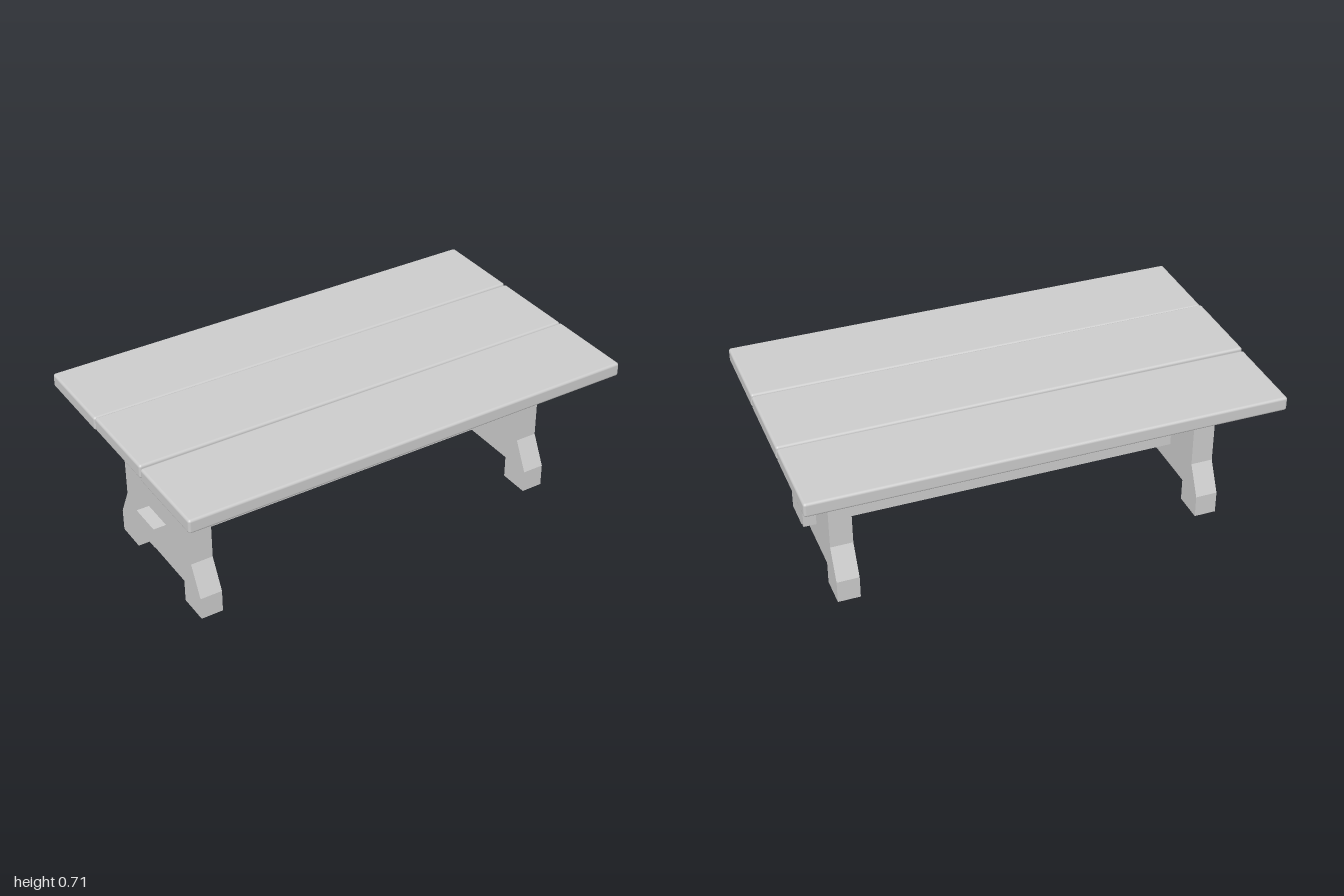
import * as THREE from 'three';
import { RoundedBoxGeometry } from 'three/addons/geometries/RoundedBoxGeometry.js';

export function createModel() {
  const table = new THREE.Group();
  table.name = 'trestleTable';
  const wood = new THREE.MeshStandardMaterial({ color: 0xcccccc });

  const add = (name, geometry, x, y, z) => {
    const mesh = new THREE.Mesh(geometry, wood);
    mesh.name = name;
    mesh.position.set(x, y, z);
    table.add(mesh);
    return mesh;
  };

  // Three rounded top planks; the middle one sits very slightly askew
  const planks = [
    ['backPlank', -0.389, 0.669, 0],
    ['middlePlank', 0.002, 0.672, -0.004],
    ['frontPlank', 0.391, 0.669, 0],
  ];
  for (const [name, z, y, tilt] of planks) {
    const plank = add(name, new RoundedBoxGeometry(1.996, 0.061, 0.386, 3, 0.011), 0, y, z);
    plank.rotation.z = tilt;
  }

  // Trestle end panel: half outline (z, y) from inner foot to top, then mirrored
  const half = [
    [0.207, 0.1], [0.207, 0], [0.342, 0], [0.342, 0.1],
    [0.277, 0.23], [0.277, 0.55], [0.327, 0.61], [0.327, 0.645],
  ];
  const mirrored = half.map(([z, y]) => [-z, y]).reverse();
  const outline = new THREE.Shape([...half, ...mirrored].map(([z, y]) => new THREE.Vector2(z, y)));
  const panel = new THREE.ExtrudeGeometry(outline, { depth: 0.096, bevelEnabled: false });
  panel.translate(0, 0, -0.048);
  panel.rotateY(-Math.PI / 2);
  add('leftTrestle', panel, 0.787, 0, 0.002);
  add('rightTrestle', panel, -0.802, 0, 0.002);

  // Stretcher beam passing through both trestles
  add('stretcher', new THREE.BoxGeometry(1.795, 0.091, 0.148), -0.008, 0.247, 0.002);

  return table;
}
